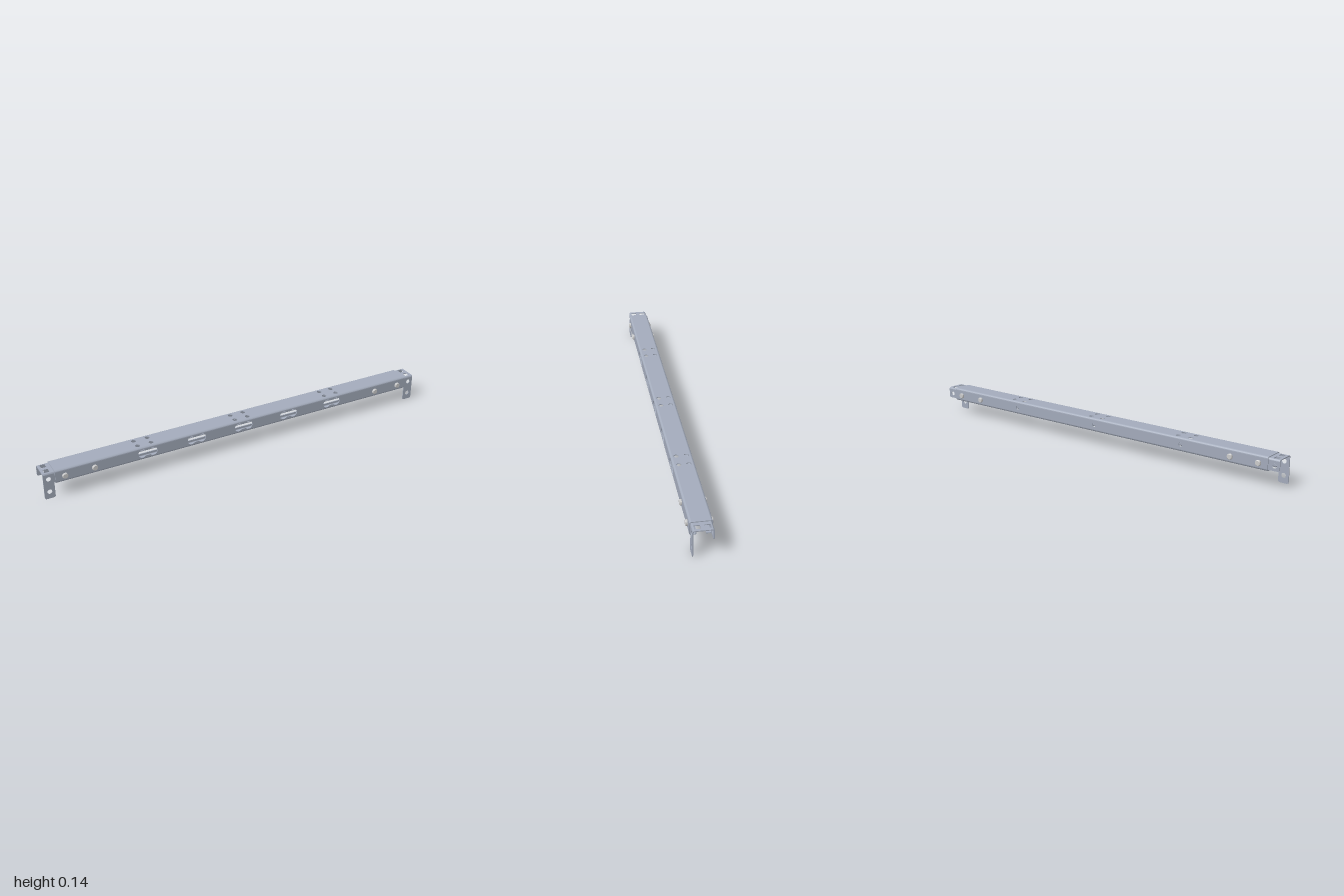
import * as THREE from 'three';
import { toCreasedNormals } from 'three/addons/utils/BufferGeometryUtils.js';

const steel = new THREE.MeshStandardMaterial({ color: 0xa3abbb });
const zinc = new THREE.MeshStandardMaterial({ color: 0xcccccc });
const T = 0.004; // sheet thickness

function add(parent, name, geometry, material = steel) {
  const mesh = new THREE.Mesh(toCreasedNormals(geometry, 0.6), material);
  mesh.name = name;
  parent.add(mesh);
  return mesh;
}

// Outlines
function rectPath(x0, x1, y0, y1, Type = THREE.Shape) {
  return new Type([[x0, y0], [x1, y0], [x1, y1], [x0, y1]].map(p => new THREE.Vector2(...p)));
}
function roundHole(x, y, r) {
  return new THREE.Path().absarc(x, y, r, 0, Math.PI * 2, true);
}
function dumbbellHole(x, y) {
  const a = THREE.MathUtils.degToRad(40), r = 0.021, d = 0.027;
  const p = new THREE.Path();
  p.absarc(x + d, y, r, -Math.PI + a, Math.PI - a, false);
  p.absarc(x - d, y, r, a, Math.PI * 2 - a, false);
  p.closePath();
  return p;
}

// Upright sheet whose +z face lies at z
function wall(parent, name, shape, holes, z) {
  shape.holes = holes;
  const g = new THREE.ExtrudeGeometry(shape, { depth: T, bevelEnabled: false, curveSegments: 10 });
  add(parent, name, g.translate(0, 0, z - T));
}

// Level sheet whose upper face lies at y; outline y runs towards -z
function deck(parent, name, shape, holes, y) {
  shape.holes = holes;
  const g = new THREE.ExtrudeGeometry(shape, { depth: T, bevelEnabled: false, curveSegments: 10 });
  add(parent, name, g.rotateX(-Math.PI / 2).translate(0, y - T, 0));
}

// Quarter-round fold along x; a is the start angle in the (-z, y) plane
function fold(parent, name, x0, x1, z, y, R, a) {
  const s = new THREE.Shape();
  s.absarc(-z, y, R, a, a + Math.PI / 2, false);
  s.absarc(-z, y, R - T, a + Math.PI / 2, a, true);
  s.closePath();
  const g = new THREE.ExtrudeGeometry(s, { depth: x1 - x0, bevelEnabled: false, curveSegments: 5 });
  add(parent, name, g.rotateY(Math.PI / 2).translate(x0, 0, 0));
}

function createRail() {
  const rail = new THREE.Group();
  rail.name = 'rail';
  const L = 0.945, W = 0.049, top = 0.135, bottom = 0.07, R = 0.009, mid = 0.1025;
  const z = W - R;

  // Top web with groups of four holes
  const topHoles = [];
  for (const x of [-0.505, 0, 0.505])
    for (const dx of [-0.034, 0.034])
      for (const y of [-0.023, 0.023]) topHoles.push(roundHole(x + dx, y, 0.0115));
  deck(rail, 'topWeb', rectPath(-L, L, -z, z), topHoles, top);

  // Side walls
  wall(rail, 'frontWall', rectPath(-L, L, bottom + R, top - R),
    [-0.5, -0.25, 0, 0.25, 0.5].map(x => dumbbellHole(x, mid)), W);
  wall(rail, 'backWall', rectPath(-L, L, bottom + R, top - R),
    [-0.5, 0, 0.5].map(x => roundHole(x, mid, 0.01)), -W + T);

  // Folds between web, walls and lips
  const q = Math.PI / 2;
  fold(rail, 'topBackFold', -L, L, -z, top - R, R, 0);
  fold(rail, 'topFrontFold', -L, L, z, top - R, R, q);
  fold(rail, 'bottomFrontFold', -L, L, z, bottom + R, R, 2 * q);
  fold(rail, 'bottomBackFold', -L, L, -z, bottom + R, R, 3 * q);

  // Inturned lips; the front one hooks upward
  deck(rail, 'frontLip', rectPath(-L, L, -z, -0.025), [], bottom + T);
  deck(rail, 'backLip', rectPath(-L, L, 0.021, z), [], bottom + T);
  fold(rail, 'hookFold', -L, L, 0.025, bottom + 0.007, 0.007, 3 * q);
  wall(rail, 'hookEdge', rectPath(-L, L, bottom + 0.007, 0.086), [], 0.018 + T);
  return rail;
}

// Nested end bracket; s = 1 at the left end, -1 at the right end
function createBracket(s) {
  const bracket = new THREE.Group();
  bracket.name = s > 0 ? 'leftBracket' : 'rightBracket';
  const inner = 0.7, W = 0.045, top = 0.131, low = 0.077, R = 0.008, c = 0.01;
  const x0 = Math.min(s * inner, s), x1 = Math.max(s * inner, s);

  // Front plate with the hanging leg
  const f = new THREE.Shape();
  f.moveTo(s * inner, top - R);
  f.lineTo(s * inner, low);
  f.lineTo(s * 0.95, low);
  f.lineTo(s * 0.95, c);
  f.quadraticCurveTo(s * 0.95, 0, s * (0.95 + c), 0);
  f.lineTo(s * (1 - c), 0);
  f.quadraticCurveTo(s, 0, s, c);
  f.lineTo(s, top - R);
  f.closePath();
  wall(bracket, 'frontPlateAndLeg', f,
    [0.035, 0.1].map(y => roundHole(s * 0.975, y, 0.011)), W);

  // Shorter back plate with rounded lower corner
  const b = new THREE.Shape();
  b.moveTo(s * inner, top - R);
  b.lineTo(s * inner, low);
  b.lineTo(s * (1 - c), low);
  b.quadraticCurveTo(s, low, s, low + c);
  b.lineTo(s, top - R);
  b.closePath();
  wall(bracket, 'backPlate', b, [roundHole(s * 0.975, 0.1, 0.011)], -W + T);

  // Top plate with two windows
  const windows = [-0.022, 0.022].map(y =>
    rectPath(s * 0.975 - 0.012, s * 0.975 + 0.012, y - 0.013, y + 0.013, THREE.Path));
  deck(bracket, 'topPlate', rectPath(x0, x1, -W + R, W - R), windows, top);
  fold(bracket, 'backFold', x0, x1, -W + R, top - R, R, 0);
  fold(bracket, 'frontFold', x0, x1, W - R, top - R, R, Math.PI / 2);
  return bracket;
}

// Rivet along z: outer head, shank, collar and inner end
function createRivet(x, side) {
  const rivet = new THREE.Group();
  rivet.name = 'rivet';
  const parts = [
    ['head', 0.011, 0.0135, 0.0555, 0.0585],
    ['headRim', 0.0135, 0.0135, 0.049, 0.0555],
    ['shank', 0.01, 0.01, 0.038, 0.05],
    ['collar', 0.0165, 0.018, 0.033, 0.041],
    ['innerEnd', 0.0125, 0.0125, 0.018, 0.034],
  ];
  for (const [name, rOut, rIn, z0, z1] of parts) {
    const g = new THREE.CylinderGeometry(rOut, rIn, z1 - z0, 24);
    add(rivet, name, g.rotateX(Math.PI / 2).translate(0, 0, (z0 + z1) / 2), zinc);
  }
  rivet.position.set(x, 0.1, 0);
  if (side < 0) rivet.rotation.y = Math.PI;
  return rivet;
}

export function createModel() {
  const model = new THREE.Group();
  model.name = 'mountingRail';
  model.add(createRail());
  for (const s of [1, -1]) {
    model.add(createBracket(s));
    for (const x of [0.76, 0.9])
      for (const side of [1, -1]) model.add(createRivet(s * x, side));
  }
  return model;
}
